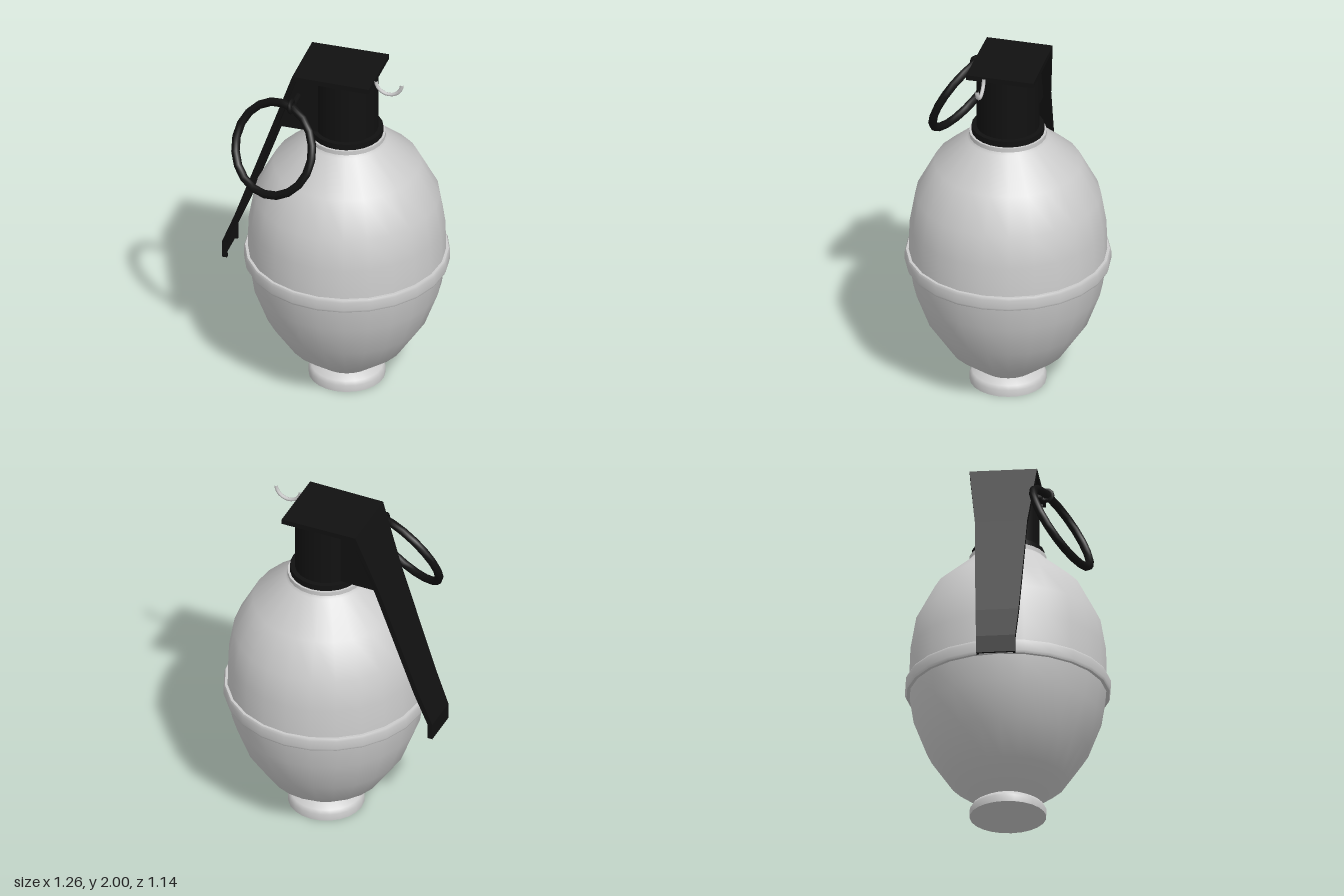
import * as THREE from 'three';

const grey = new THREE.MeshStandardMaterial({ color: 0xcccccc });
const black = new THREE.MeshStandardMaterial({ color: 0x111111 });
const blackFlat = new THREE.MeshStandardMaterial({ color: 0x111111, flatShading: true });
const CX = 0.06; // axis of the body

function add(group, name, geometry, material, x = 0, y = 0, z = 0) {
  const mesh = new THREE.Mesh(geometry, material);
  mesh.name = name;
  mesh.position.set(x, y, z);
  group.add(mesh);
  return mesh;
}

// Turned part from [radius, height] pairs, bottom to top
function turned(points) {
  return new THREE.LatheGeometry(points.map(([r, y]) => new THREE.Vector2(r, y)), 24);
}

// Folded sheet channel: stations are [x, y, halfWidth, inwardX, inwardY]
function channel(stations, flange, t) {
  const sections = stations.map(([x, y, w, ix, iy]) =>
    [[-w, 0], [w, 0], [w, flange], [w - t, flange], [w - t, t], [t - w, t], [t - w, flange], [-w, flange]]
      .map(([z, d]) => [x + ix * d, y + iy * d, z]));
  const pos = [];
  const quad = (a, b, c, d) => pos.push(...a, ...b, ...c, ...a, ...c, ...d);
  for (let i = 0; i < sections.length - 1; i++) {
    const a = sections[i], b = sections[i + 1];
    for (let k = 0; k < 8; k++) quad(a[k], b[k], b[(k + 1) % 8], a[(k + 1) % 8]);
  }
  const first = sections[0], last = sections[sections.length - 1];
  for (const q of [[0, 1, 4, 5], [1, 2, 3, 4], [0, 5, 6, 7]]) {
    quad(...q.map(k => first[k]));
    quad(...q.slice().reverse().map(k => last[k]));
  }
  const g = new THREE.BufferGeometry();
  g.setAttribute('position', new THREE.Float32BufferAttribute(pos, 3));
  g.computeVertexNormals();
  return g;
}

export function createModel() {
  const model = new THREE.Group();
  model.name = 'grenade';

  // Turned body: foot, two shells and the seam band
  add(model, 'footBottom', turned([[0, 0], [0.213, 0]]), grey, CX);
  add(model, 'foot', turned([[0.213, 0], [0.214, 0.04], [0.2, 0.062], [0.155, 0.088]]), grey, CX);
  add(model, 'lowerShell', turned([
    [0.155, 0.085], [0.325, 0.215], [0.45, 0.4], [0.525, 0.6], [0.548, 0.75],
  ]), grey, CX);
  add(model, 'seamBandUnderside', turned([[0.54, 0.745], [0.565, 0.745]]), grey, CX);
  add(model, 'seamBand', turned([[0.565, 0.745], [0.572, 0.76], [0.572, 0.81], [0.565, 0.825]]), grey, CX);
  add(model, 'seamBandTop', turned([[0.565, 0.825], [0.54, 0.825]]), grey, CX);
  add(model, 'upperShell', turned([
    [0.55, 0.82], [0.546, 1.0], [0.515, 1.18], [0.41, 1.38], [0.225, 1.54], [0.215, 1.555],
  ]), grey, CX);
  add(model, 'shellLip', new THREE.CylinderGeometry(0.215, 0.215, 0.04, 24), grey, CX, 1.56);

  // Fuse head
  add(model, 'collar', new THREE.CylinderGeometry(0.202, 0.202, 0.04, 24), black, CX, 1.595);
  add(model, 'fuseNeck', new THREE.CylinderGeometry(0.175, 0.175, 0.4, 24), black, CX, 1.785);
  const side = new THREE.Shape([[-0.195, 1.975], [CX, 1.975], [CX, 1.613], [-0.295, 1.613]]
    .map(([x, y]) => new THREE.Vector2(x, y)));
  add(model, 'fuseBlock', new THREE.ExtrudeGeometry(side, { depth: 0.22, bevelEnabled: false }),
    blackFlat, 0, 0, -0.11);

  // Safety lever: top plate, sloping arm and end tab
  add(model, 'safetyLever', channel([
    [0.245, 2.0, 0.193, 0, -1],
    [-0.2, 2.0, 0.188, 0.7, -1],
    [-0.33, 1.63, 0.146, 0.95, -0.32],
    [-0.555, 0.985, 0.12, 0.95, -0.32],
    [-0.632, 0.79, 0.109, 0.98, -0.15],
    [-0.632, 0.69, 0.108, 1, 0],
  ], 0.03, 0.014), blackFlat);
  add(model, 'leverFrontLip', new THREE.BoxGeometry(0.014, 0.03, 0.38), blackFlat, 0.237, 1.985);

  // Pull ring hanging from the pin eye
  const ring = add(model, 'pullRing', new THREE.TorusGeometry(0.261, 0.024, 8, 20), black, -0.263, 1.603, 0.33);
  ring.quaternion.setFromUnitVectors(new THREE.Vector3(0, 0, 1),
    new THREE.Vector3(-0.35, 0.42, 0.84).normalize());
  const pin = add(model, 'pin', new THREE.CylinderGeometry(0.018, 0.018, 0.2, 8), black, -0.19, 1.83, 0.12);
  pin.rotation.x = Math.PI / 2;
  const eye = add(model, 'pinEye', new THREE.TorusGeometry(0.032, 0.014, 6, 10), black, -0.19, 1.838, 0.238);
  eye.rotation.y = Math.PI / 2;

  // Half-round wire hook at the lever hinge
  const hook = add(model, 'hingeHook', new THREE.TorusGeometry(0.075, 0.011, 6, 12, Math.PI), grey, 0.33, 1.998, 0.088);
  hook.rotation.z = Math.PI;

  return model;
}
